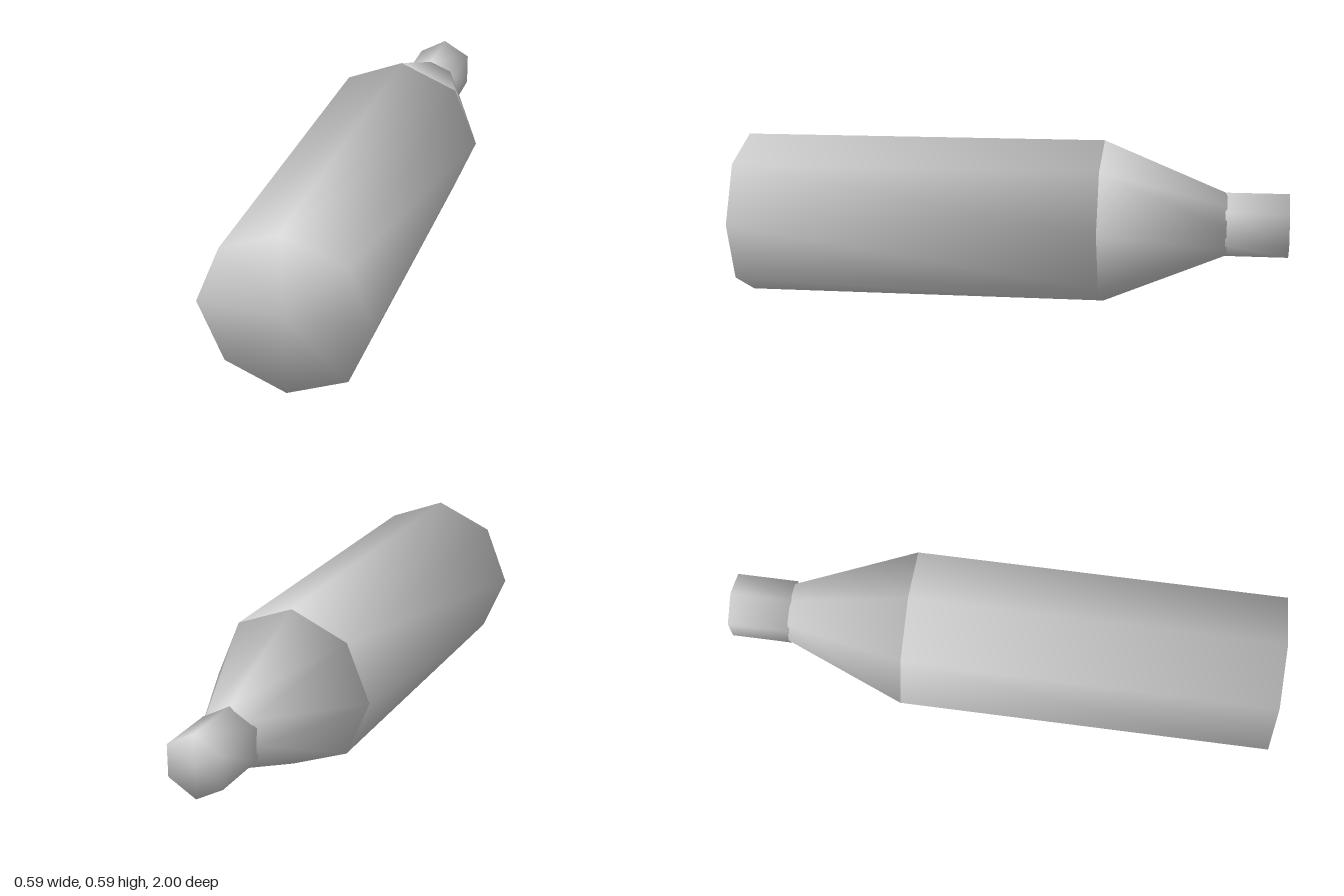
import * as THREE from 'three';

const AXIS_Y = 0.297;

// Closed prism or frustum along z whose normals run smoothly over its rims.
function smoothFrustum(frontZ, rearZ, frontR, rearR, sides) {
  const length = frontZ - rearZ;
  const g = new THREE.CylinderGeometry(rearR, frontR, length, sides, 1);
  const pos = g.attributes.position, nor = g.attributes.normal;

  // Weigh the side and cap normals by their corner angles at each rim.
  const tilt = Math.atan2((frontR - rearR) * Math.cos(Math.PI / sides), length);
  const lean = Math.atan2((frontR - rearR) * Math.sin(Math.PI / sides), length);
  const capAngle = Math.PI * (1 - 2 / sides);
  const n = new THREE.Vector3();
  for (let i = 0; i < pos.count; i++) {
    const x = pos.getX(i), z = pos.getZ(i);
    const end = Math.sign(pos.getY(i));
    const r = Math.hypot(x, z);
    if (r < 1e-6) {
      n.set(0, end, 0);
    } else {
      const sideAngle = 2 * (Math.PI / 2 + end * lean);
      const radial = sideAngle * Math.cos(Math.PI / sides) * Math.cos(tilt);
      n.set(x / r * radial, sideAngle * Math.sin(tilt) + end * capAngle, z / r * radial);
      n.normalize();
    }
    nor.setXYZ(i, n.x, n.y, n.z);
  }

  // Lay it down: the upper end of the cylinder becomes the rear.
  g.rotateX(-Math.PI / 2);
  g.translate(0, AXIS_Y, (frontZ + rearZ) / 2);
  return g;
}

export function createModel() {
  const group = new THREE.Group();
  group.name = 'lyingBottle';
  const grey = new THREE.MeshStandardMaterial({ color: 0xcccccc });
  grey.name = 'light grey';

  const parts = [
    ['body', 1, -0.335, 0.297, 0.297, 8],
    ['shoulder', -0.335, -0.78, 0.297, 0.113, 8],
    ['neck', -0.775, -1, 0.116, 0.116, 6],
  ];
  for (const [name, ...dims] of parts) {
    const mesh = new THREE.Mesh(smoothFrustum(...dims), grey);
    mesh.name = name;
    group.add(mesh);
  }
  return group;
}
